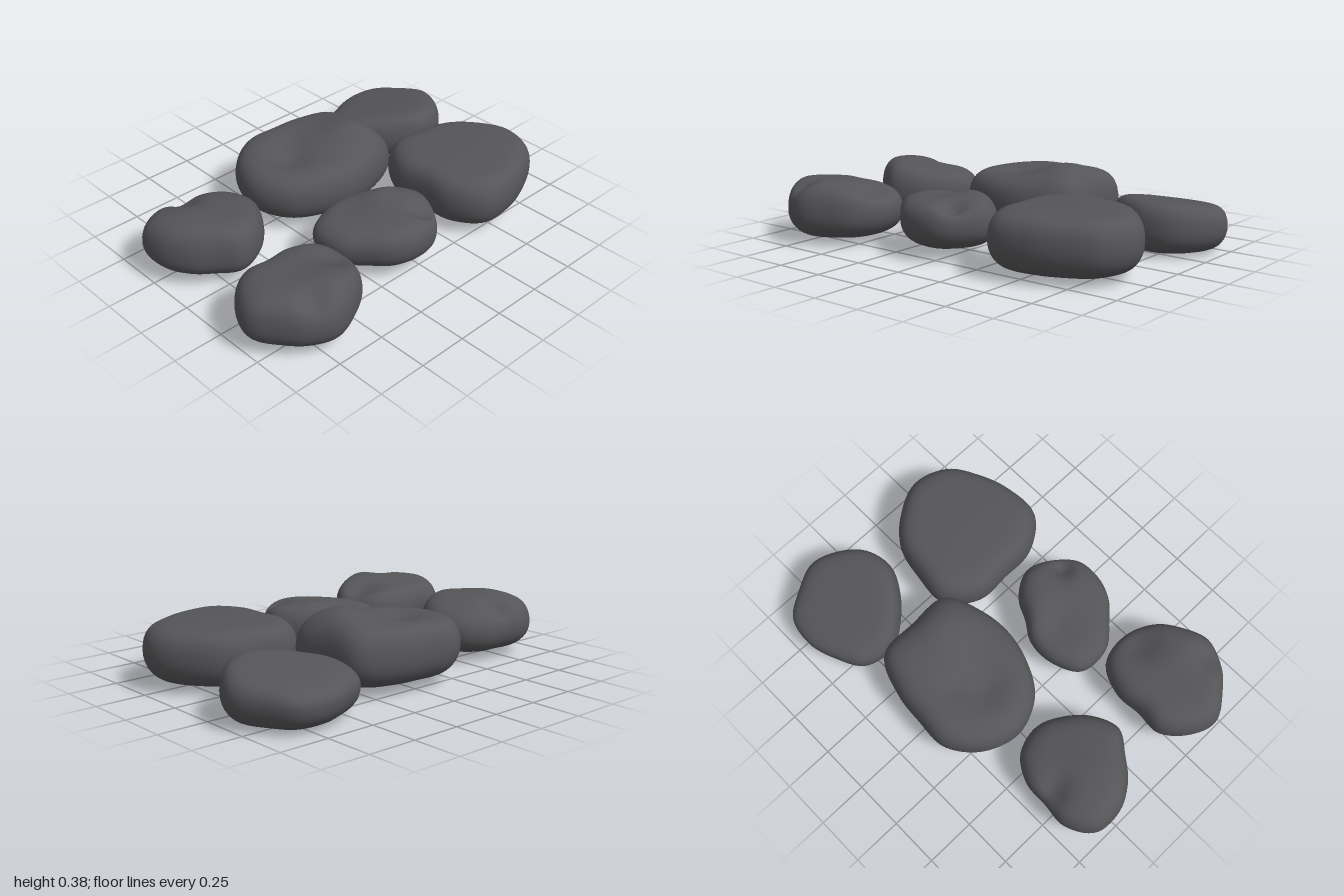
import * as THREE from 'three';
import { mergeVertices } from 'three/addons/utils/BufferGeometryUtils.js';

const COLUMNS = 72;
const CAP_RINGS = 14;

// Smooth rim through radii spaced evenly around the centre, clockwise from +x as seen from above
function stoneRim(radii) {
  const points = radii.map((r, i) => {
    const angle = (i / radii.length) * Math.PI * 2;
    return new THREE.Vector3(r * Math.cos(angle), 0, r * Math.sin(angle));
  });
  return new THREE.CatmullRomCurve3(points, true).getSpacedPoints(COLUMNS).slice(0, COLUMNS);
}

// Rounded slab: the rim shrinks towards a bottom pole and a top pole.
// edge sets how tight the rounding is; each bump is [x, z, height, width].
function stoneGeometry({ radii, base, mid, top, edge, slopeX = 0, slopeZ = 0, bumps = [] }) {
  const rim = stoneRim(radii);
  const positions = [];
  for (let i = -CAP_RINGS; i <= CAP_RINGS; i++) {
    const r = 1 - (i / CAP_RINGS) ** 2;
    const rise = Math.pow(1 - Math.pow(r, i < 0 ? edge * 0.65 : edge), 1 / 2.1);
    for (const p of rim) {
      const x = p.x * r;
      const z = p.z * r;
      let height = base - mid;
      if (i > 0) {
        height = top - mid + slopeX * x + slopeZ * z;
        for (const [bx, bz, h, w] of bumps) height += h * Math.exp(-((x - bx) ** 2 + (z - bz) ** 2) / (w * w));
      }
      positions.push(x, mid + height * rise, z);
    }
  }
  const index = [];
  for (let i = 0; i < CAP_RINGS * 2; i++) {
    for (let j = 0; j < COLUMNS; j++) {
      const a = i * COLUMNS + j;
      const b = i * COLUMNS + ((j + 1) % COLUMNS);
      const c = b + COLUMNS;
      const d = a + COLUMNS;
      if (i < CAP_RINGS * 2 - 1) index.push(a, d, c);
      if (i > 0) index.push(a, c, b);
    }
  }
  const geometry = new THREE.BufferGeometry();
  geometry.setAttribute('position', new THREE.Float32BufferAttribute(positions, 3));
  geometry.setIndex(index);
  const welded = mergeVertices(geometry, 1e-5);
  welded.computeVertexNormals();
  return welded;
}

export function createModel() {
  const model = new THREE.Group();
  model.name = 'steppingStones';
  const slate = new THREE.MeshStandardMaterial({ color: 0x555558 });
  slate.name = 'darkSlate';

  const addStone = (name, x, z, shape) => {
    const mesh = new THREE.Mesh(stoneGeometry(shape), slate);
    mesh.name = name;
    mesh.position.set(x, 0, z);
    model.add(mesh);
  };

  // Two small stones on the right-hand side of the path
  addStone('backRightStone', -0.7, -0.21, {
    radii: [0.29, 0.265, 0.265, 0.275, 0.23, 0.24, 0.275, 0.31, 0.28, 0.235, 0.26, 0.29],
    base: 0.03, mid: 0.15, top: 0.285, edge: 6, slopeX: -0.08, slopeZ: 0.1,
    bumps: [[0, -0.18, -0.04, 0.07], [-0.06, -0.02, 0.015, 0.12]],
  });
  addStone('frontRightStone', -0.7, 0.43, {
    radii: [0.315, 0.29, 0.265, 0.275, 0.26, 0.26, 0.3, 0.283, 0.268, 0.227, 0.27, 0.325],
    base: 0.02, mid: 0.15, top: 0.285, edge: 6.5, slopeX: -0.02, slopeZ: 0.06,
    bumps: [[0.23, -0.01, -0.05, 0.1], [-0.08, 0.2, -0.04, 0.07], [0.06, 0.12, 0.015, 0.12]],
  });

  // Middle pair: a small dented stone and the tall peaked one
  addStone('middleFrontStone', -0.08, 0.32, {
    radii: [0.278, 0.267, 0.265, 0.24, 0.228, 0.23, 0.29, 0.33, 0.28, 0.24, 0.205, 0.24],
    base: 0.04, mid: 0.165, top: 0.27, edge: 6, slopeX: 0.06, slopeZ: -0.01,
    bumps: [[0.15, 0.13, -0.055, 0.06], [0.08, -0.1, 0.018, 0.09], [-0.07, -0.14, -0.02, 0.1]],
  });
  addStone('middleBackStone', 0.01, -0.29, {
    radii: [0.37, 0.42, 0.345, 0.315, 0.318, 0.36, 0.388, 0.378, 0.355, 0.307, 0.333, 0.408],
    base: 0.03, mid: 0.18, top: 0.317, edge: 7.5, slopeX: 0.03, slopeZ: -0.02,
    bumps: [[0.21, 0.06, 0.057, 0.16], [-0.13, 0.01, -0.035, 0.1], [-0.04, -0.09, -0.015, 0.06]],
  });

  // Left-hand side: a low sloping stone and the broad flat one
  addStone('backLeftStone', 0.7, -0.42, {
    radii: [0.303, 0.29, 0.29, 0.28, 0.253, 0.26, 0.31, 0.325, 0.285, 0.287, 0.3, 0.28],
    base: 0, mid: 0.125, top: 0.23, edge: 7.5, slopeZ: 0.16,
  });
  addStone('frontLeftStone', 0.58, 0.25, {
    radii: [0.37, 0.358, 0.32, 0.33, 0.378, 0.352, 0.315, 0.364, 0.385, 0.327, 0.33, 0.337],
    base: 0.018, mid: 0.165, top: 0.297, edge: 8.5,
  });
  return model;
}
